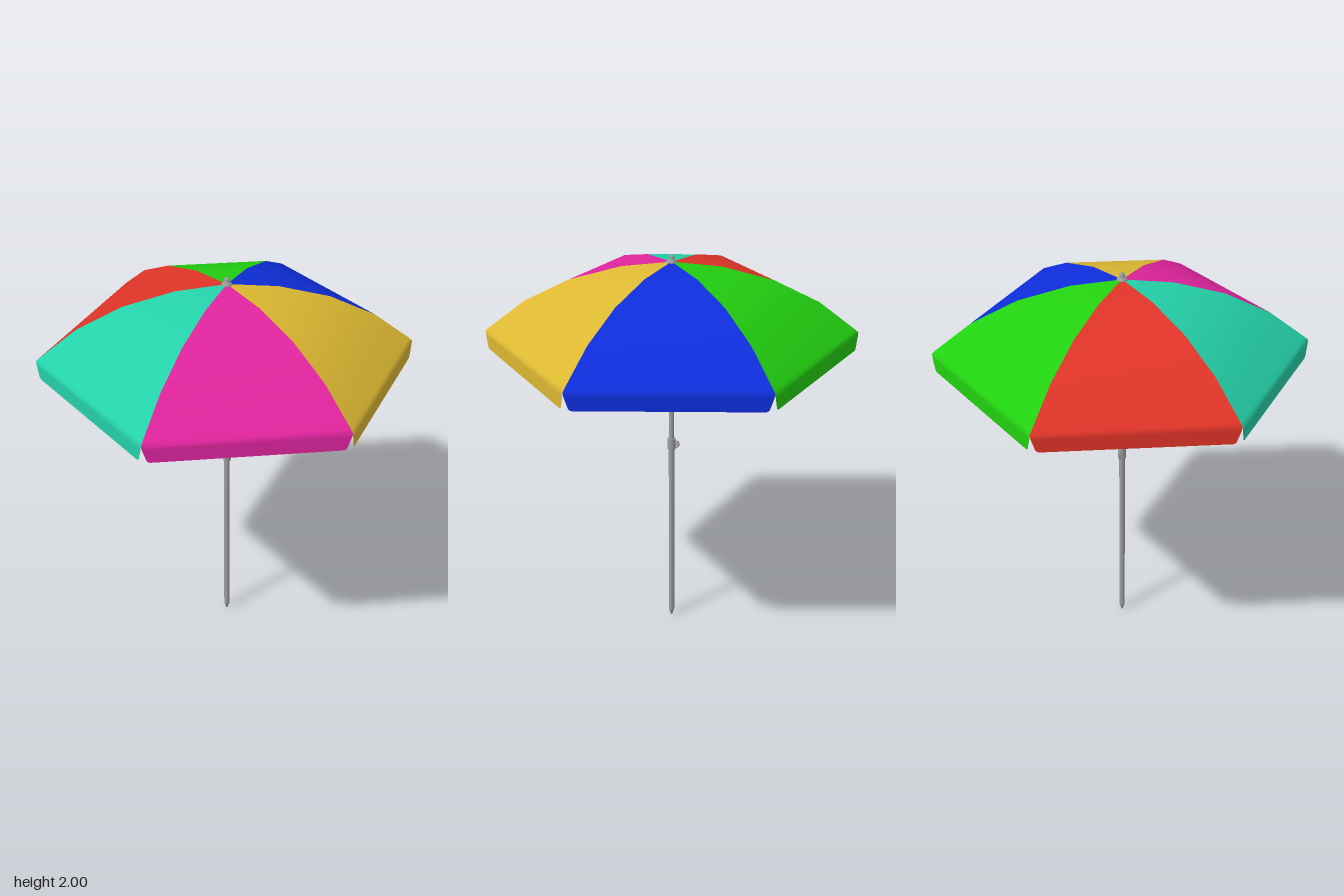
import * as THREE from 'three';

const mat = (name, color, side = THREE.FrontSide) => {
  const m = new THREE.MeshStandardMaterial({ color, side });
  m.name = name;
  return m;
};

// Rib profile as [radius, height], from the crown to the rim
const RIB = [[0.003, 1.965], [0.24, 1.942], [0.485, 1.877], [0.705, 1.77], [0.885, 1.632], [0.9, 1.617]];
// Hanging valance as [width factor, height], with rounded lower corners
const VALANCE = [[0.992, 1.6], [0.965, 1.562], [0.955, 1.548], [0.945, 1.54], [0.92, 1.535]];

const polar = (r, y, a) => new THREE.Vector3(r * Math.sin(a), y, r * Math.cos(a));

// One cloth panel between two ribs, continued down into its valance
function panelGeometry(a0, a1) {
  const rows = RIB.map(([r, y]) => [polar(r, y, a0), polar(r, y, a1)]);
  for (const [w, y] of VALANCE) {
    const l = polar(0.9, y, a0), r = polar(0.9, y, a1);
    const mid = l.clone().lerp(r, 0.5);
    rows.push([mid.clone().lerp(l, w), mid.clone().lerp(r, w)]);
  }
  const index = [];
  for (let i = 0; i < rows.length - 1; i++) {
    const a = 2 * i, b = a + 1, c = a + 2, d = a + 3;
    index.push(c, d, b, c, b, a);
  }
  const g = new THREE.BufferGeometry().setFromPoints(rows.flat());
  g.setIndex(index);
  g.computeVertexNormals();
  return g;
}

export function createModel() {
  const model = new THREE.Group();
  model.name = 'beachUmbrella';
  const metal = mat('grey metal', 0x9c9c9c);
  const dark = mat('dark metal', 0x5c5c60);
  const cloth = [
    mat('yellow cloth', 0xdcb832, THREE.DoubleSide),
    mat('blue cloth', 0x0e2edc, THREE.DoubleSide),
    mat('green cloth', 0x22d010, THREE.DoubleSide),
    mat('red cloth', 0xe03428, THREE.DoubleSide),
    mat('teal cloth', 0x24d0a8, THREE.DoubleSide),
    mat('pink cloth', 0xe0249e, THREE.DoubleSide),
  ];

  const add = (name, geo, material, parent = model) => {
    const m = new THREE.Mesh(geo, material);
    m.name = name;
    parent.add(m);
    return m;
  };
  const lathe = (name, pts, material, seg = 20) =>
    add(name, new THREE.LatheGeometry(pts.map(([r, y]) => new THREE.Vector2(r, y)), seg), material);
  const rod = (name, from, to, radius, material, parent) => {
    const dir = to.clone().sub(from);
    const m = add(name, new THREE.CylinderGeometry(radius, radius, dir.length(), 6), material, parent);
    m.position.copy(from).lerp(to, 0.5);
    m.quaternion.setFromUnitVectors(new THREE.Vector3(0, 1, 0), dir.normalize());
  };
  const sleeve = (name, radius, y0, y1, material) => {
    const m = add(name, new THREE.CylinderGeometry(radius, radius, y1 - y0, 20), material);
    m.position.y = (y0 + y1) / 2;
  };

  // Canopy panels, ribs and stretchers
  const canopy = new THREE.Group();
  canopy.name = 'canopy';
  const frame = new THREE.Group();
  frame.name = 'frame';
  model.add(canopy, frame);
  for (let i = 0; i < 6; i++) {
    const a = i * Math.PI / 3;
    add('panel', panelGeometry(a, a + Math.PI / 3), cloth[i], canopy);
    const pts = RIB.map(([r, y]) => polar(Math.max(r - 0.006, 0.003), y - 0.008, a));
    for (let k = 0; k < pts.length - 1; k++) rod('rib', pts[k], pts[k + 1], 0.0035, dark, frame);
    rod('stretcher', polar(0.02, 1.715, a), polar(0.48, 1.868, a), 0.0035, dark, frame);
  }

  // Pole with a pointed foot
  lathe('lowerPole', [[0, 0], [0.004, 0.003], [0.014, 0.035], [0.0145, 0.04], [0.0145, 1.0]], metal);
  sleeve('upperPole', 0.012, 0.99, 1.96, metal);

  // Height lock: sleeve, bolt and a looped handle at the back
  sleeve('lockSleeve', 0.02, 0.992, 1.052, metal);
  const bolt = add('lockBolt', new THREE.CylinderGeometry(0.007, 0.007, 0.03, 12), metal);
  bolt.rotation.x = Math.PI / 2;
  bolt.position.set(0, 1.018, -0.02);
  const loop = add('lockHandle', new THREE.TorusGeometry(0.018, 0.004, 8, 20), metal);
  loop.rotation.y = Math.PI / 2;
  loop.position.set(0, 1.018, -0.019);

  // Sliding runner and upper hub
  sleeve('runner', 0.018, 1.67, 1.74, metal);
  sleeve('runnerRing', 0.027, 1.705, 1.725, dark);
  sleeve('upperHub', 0.027, 1.925, 1.945, dark);

  // Finial
  lathe('finial', [[0.026, 1.955], [0.026, 1.966], [0.02, 1.972], [0.013, 1.978], [0.013, 1.988],
    [0.011, 1.995], [0.006, 1.999], [0, 2]], metal);

  return model;
}
